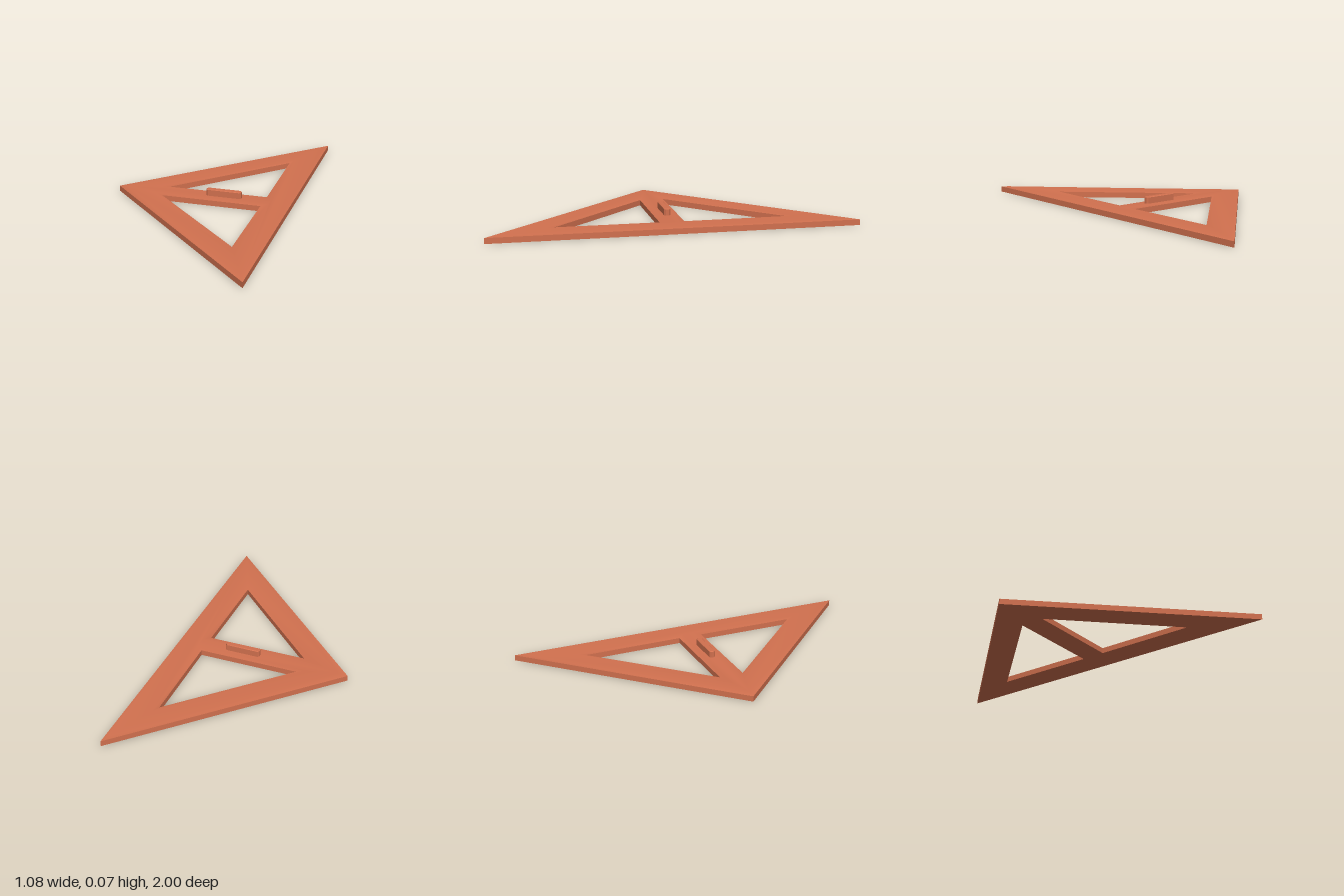
import * as THREE from 'three';
import { toCreasedNormals } from 'three/addons/utils/BufferGeometryUtils.js';

const toPoints = (list) => list.map(([x, z]) => new THREE.Vector2(x, -z));

// Flat-bottomed plate from an [x, z] outline, with a chamfer round the top edges
function chamferedPlate(outline, holes, height, rise, inset) {
  const shape = new THREE.Shape(toPoints(outline));
  for (const hole of holes) shape.holes.push(new THREE.Path(toPoints(hole)));
  const geometry = new THREE.ExtrudeGeometry(shape, {
    depth: height - rise, bevelEnabled: true, bevelSegments: 1,
    bevelThickness: rise, bevelSize: inset, bevelOffset: -inset,
  });
  // Flatten the underside chamfer onto the base plane
  const position = geometry.attributes.position;
  for (let i = 0; i < position.count; i++) {
    position.setZ(i, Math.max(0, position.getZ(i)));
  }
  geometry.rotateX(-Math.PI / 2);
  return toCreasedNormals(geometry, Math.PI / 6);
}

export function createModel() {
  const model = new THREE.Group();
  model.name = 'setSquare';
  const material = new THREE.MeshStandardMaterial({ color: 0xd2714f });

  // Right-angled frame with two openings divided by a crossbar
  const frame = new THREE.Mesh(chamferedPlate(
    [[-0.54, 0.085], [0.54, 1.0], [0.365, -1.0]],
    [
      [[0.24, -0.62], [0.293, -0.055], [-0.27, -0.005]],
      [[0.303, 0.08], [0.35, 0.64], [-0.258, 0.13]],
    ],
    0.036, 0.005, 0.035,
  ), material);
  frame.name = 'triangularFrame';
  model.add(frame);

  // Grip bar with clipped corners, lying along the crossbar
  const l = 0.1, w = 0.017, c = 0.009;
  const grip = new THREE.Mesh(chamferedPlate(
    [[-l, -w + c], [-l, w - c], [-l + c, w], [l - c, w],
      [l, w - c], [l, -w + c], [l - c, -w], [-l + c, -w]],
    [], 0.039, 0.003, 0.004,
  ), material);
  grip.name = 'gripHandle';
  grip.position.set(0.072, 0.034, 0.03);
  grip.rotation.y = THREE.MathUtils.degToRad(5);
  model.add(grip);

  return model;
}
